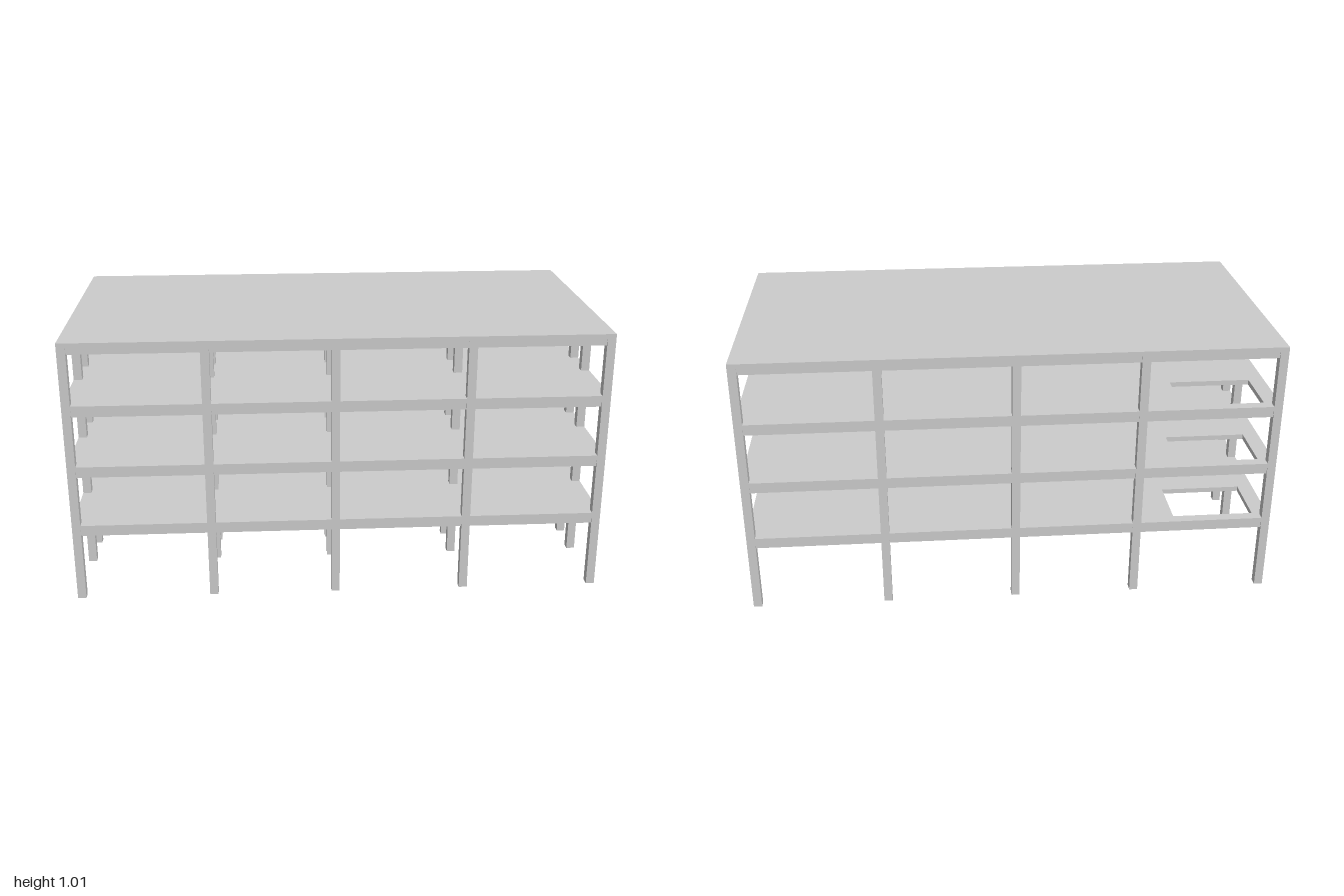
import * as THREE from 'three';

const COL = 0.032;                 // column side
const SLAB = 0.019;                // slab thickness
const BEAM_D = 0.024, BEAM_W = 0.024;
const XS = [-0.984, -0.481, -0.014, 0.482, 0.984];   // column grid lines
const ZS = [-0.484, 0.021, 0.184, 0.484];
const TOPS = [0.304, 0.541, 0.778, 1.014];           // slab top levels

export function createModel() {
  const root = new THREE.Group();
  root.name = 'buildingFrame';
  const material = new THREE.MeshStandardMaterial({ color: 0xcccccc, flatShading: true });

  const box = (parent, name, w, h, d, x, y, z) => {
    const mesh = new THREE.Mesh(new THREE.BoxGeometry(w, h, d), material);
    mesh.name = name;
    mesh.position.set(x, y, z);
    parent.add(mesh);
  };

  // Columns, running from the ground to the underside of the roof
  const columns = new THREE.Group();
  columns.name = 'columns';
  const height = TOPS[3] - SLAB;
  for (const x of XS) for (const z of ZS) box(columns, 'column', COL, height, COL, x, height / 2, z);
  root.add(columns);

  TOPS.forEach((top, level) => {
    const isRoof = level === TOPS.length - 1;
    const floor = new THREE.Group();
    floor.name = isRoof ? 'roof' : `floor${level + 1}`;

    // Slab, with a stair opening on every floor but the roof
    const outline = new THREE.Shape([[-1, -0.5], [1, -0.5], [1, 0.5], [-1, 0.5]].map(p => new THREE.Vector2(...p)));
    if (!isRoof) {
      // shape y becomes -z
      const hole = [[-0.94, 0.25], [-0.94, 0.46], [-0.63, 0.46], [-0.63, 0.25]];
      outline.holes.push(new THREE.Path(hole.map(p => new THREE.Vector2(...p))));
    }
    const geometry = new THREE.ExtrudeGeometry(outline, { depth: SLAB, bevelEnabled: false });
    geometry.rotateX(-Math.PI / 2);
    const slab = new THREE.Mesh(geometry, material);
    slab.name = 'slab';
    slab.position.y = top - SLAB;
    floor.add(slab);

    // Beams between neighbouring columns, slightly set back from the column faces
    const y = top - SLAB - BEAM_D / 2;
    for (const z of ZS) for (let i = 0; i < XS.length - 1; i++) {
      box(floor, 'longBeam', XS[i + 1] - XS[i] - COL, BEAM_D, BEAM_W, (XS[i] + XS[i + 1]) / 2, y, z);
    }
    for (const x of XS) for (let i = 0; i < ZS.length - 1; i++) {
      box(floor, 'crossBeam', BEAM_W, BEAM_D, ZS[i + 1] - ZS[i] - COL, x, y, (ZS[i] + ZS[i + 1]) / 2);
    }
    root.add(floor);
  });

  return root;
}
